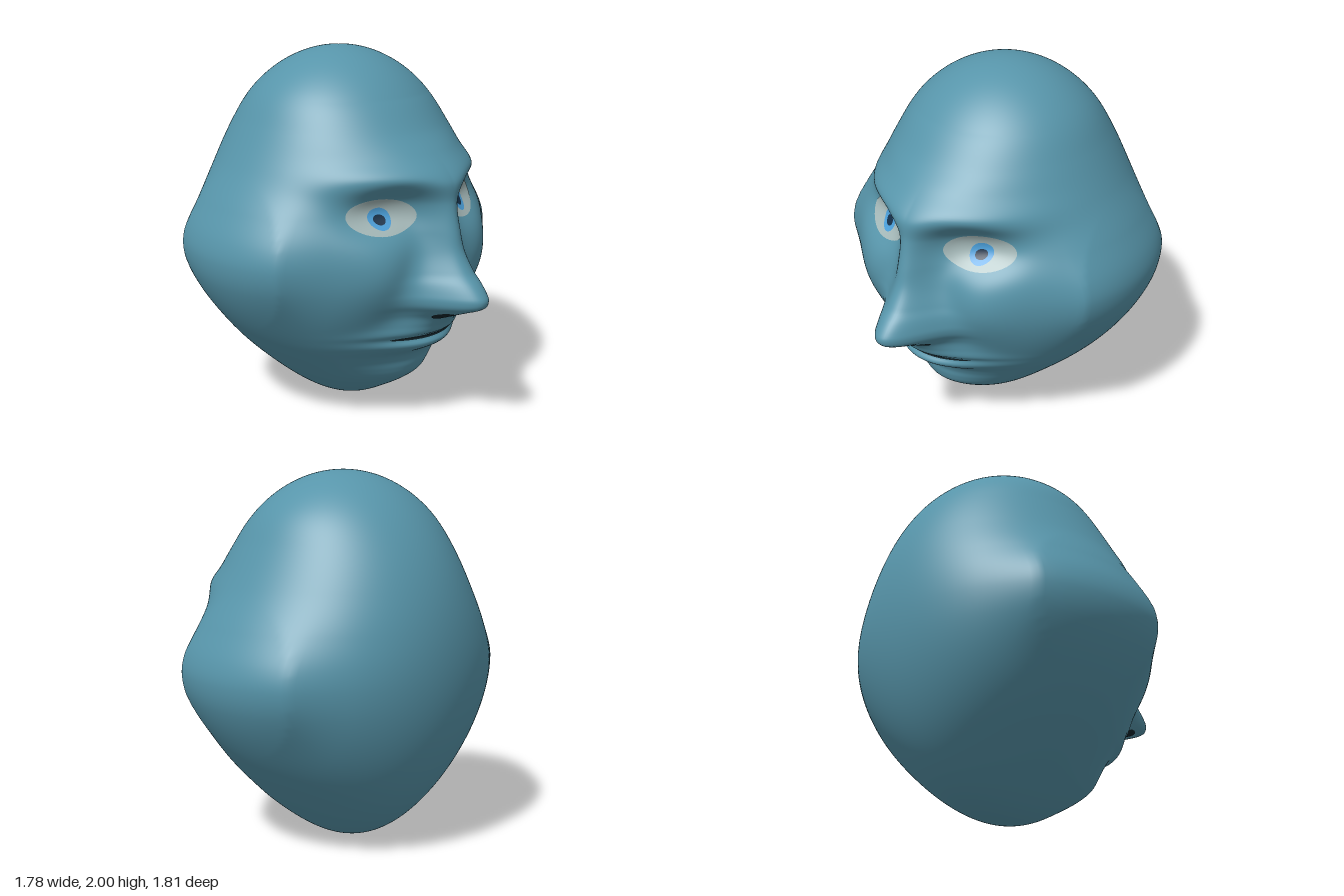
import * as THREE from 'three';

// Egg-shaped skull: centre, height and depth radii
const CY = 1, CZ = -0.16, RY = 1, RZ = 0.74;

// Side-to-side radius of the egg, top to bottom
const WIDTH = [
  [2, 0.76], [1.8, 0.75], [1.6, 0.722], [1.4, 0.745], [1.2, 0.815], [1.05, 0.872], [0.94, 0.891],
  [0.8, 0.877], [0.6, 0.815], [0.4, 0.725], [0.2, 0.605], [0, 0.48],
];

// Middle of the face, top to bottom: height, forward push, half width of the push
const PROFILE = [
  [1.75, 0, 0.4], [1.6, 0.022, 0.4], [1.5, 0.072, 0.36], [1.4, 0.128, 0.28], [1.35, 0.143, 0.22],
  [1.25, 0.13, 0.13], [1.1, 0.139, 0.11], [1.0, 0.16, 0.12], [0.9, 0.225, 0.145], [0.85, 0.28, 0.16],
  [0.8, 0.328, 0.17], [0.77, 0.347, 0.175], [0.73, 0.335, 0.175], [0.69, 0.25, 0.17], [0.65, 0.165, 0.18],
  [0.6, 0.125, 0.22], [0.55, 0.108, 0.28], [0.52, 0.072, 0.3], [0.48, 0.107, 0.3], [0.45, 0.095, 0.29],
  [0.4, 0.035, 0.28], [0.35, 0.03, 0.28], [0.3, 0.052, 0.28], [0.25, 0.068, 0.28], [0.2, 0.055, 0.28],
  [0.1, 0.012, 0.25], [0, 0, 0.2],
];

const bell = (a, b = 0) => Math.exp(-(a * a + b * b));

// Smooth interpolation of one table column by height
function lookUp(table, y, col) {
  const n = table.length - 1;
  if (y >= table[0][0]) return table[0][col];
  let i = 0;
  while (i < n - 1 && table[i + 1][0] > y) i++;
  const slope = (k) => {
    const p = table[Math.max(k - 1, 0)], q = table[Math.min(k + 1, n)];
    return (q[col] - p[col]) / (q[0] - p[0]);
  };
  const [a, b] = [table[i], table[i + 1]];
  const h = b[0] - a[0], t = (y - a[0]) / h, t2 = t * t, t3 = t2 * t;
  return (2 * t3 - 3 * t2 + 1) * a[col] + (t3 - 2 * t2 + t) * h * slope(i)
    + (3 * t2 - 2 * t3) * b[col] + (t3 - t2) * h * slope(i + 1);
}

// Forward push of the face: nose, lips and chin, plus brows, sockets and cheeks
function facePush(x, y) {
  const ax = Math.abs(x);
  const middle = lookUp(PROFILE, y, 1) * Math.exp(-Math.pow(ax / lookUp(PROFILE, y, 2), 2.2));
  const brow = 0.062 * bell((ax - 0.36) / 0.22, (y - 1.38) / 0.075);
  const socket = -0.08 * bell((ax - 0.34) / 0.2, (y - 1.2) / 0.11);
  const cheek = 0.055 * bell((ax - 0.37) / 0.19, (y - 0.88) / 0.22);
  return middle + brow + socket + cheek;
}

// Sideways push that lifts the front and back rims of the round side discs
function sidePush(y, z) {
  const dy = y - 0.95, dz = z + 0.17;
  const out = Math.max(0, Math.hypot(dy, dz) - 0.4);
  const fade = Math.max(0, 1 - out / 0.18);
  return 0.05 * Math.min(1, (dz / 0.4) ** 2) * bell(dy / 0.32) * fade * fade;
}

// Moves a point of the plain egg onto the sculpted head
function sculpt(x, y, z) {
  const front = THREE.MathUtils.smoothstep((z - CZ) / RZ, 0, 0.35);
  const side = THREE.MathUtils.smoothstep(Math.abs(x), 0.2, 0.55);
  return [x + Math.sign(x) * side * sidePush(y, z), y, z + front * facePush(x, y)];
}

// Grid of points to an indexed smooth geometry
function gridGeometry(rows, cols, point) {
  const pos = [], index = [];
  for (let i = 0; i <= rows; i++) {
    for (let j = 0; j < cols; j++) {
      pos.push(...point(i / rows, j / cols));
      if (i === rows) continue;
      const k = (j + 1) % cols;
      const a = i * cols + j, b = i * cols + k, c = a + cols, d = b + cols;
      index.push(a, c, b, b, c, d);
    }
  }
  const g = new THREE.BufferGeometry();
  g.setAttribute('position', new THREE.Float32BufferAttribute(pos, 3));
  g.setIndex(index);
  g.computeVertexNormals();
  return g;
}

// Columns are packed more tightly around the face
function headGeometry() {
  return gridGeometry(280, 210, (u, v) => {
    const t = v * Math.PI * 2, lon = t - 0.55 * Math.sin(t);
    const lat = 0.002 + u * (Math.PI - 0.004), r = Math.sin(lat);
    const y = CY + RY * Math.cos(lat);
    return sculpt(lookUp(WIDTH, y, 1) * r * Math.sin(lon), y, CZ + RZ * r * Math.cos(lon));
  });
}

// Oval patch lying on the face
function patchGeometry(cx, cy, rx, ry, lift) {
  return gridGeometry(8, 40, (u, v) => {
    const t = v * Math.PI * 2, r = Math.max(u, 0.001);
    const x = cx + rx * r * Math.cos(t), y = cy + ry * r * Math.sin(t);
    const z = CZ + RZ * Math.sqrt(1 - (x / lookUp(WIDTH, y, 1)) ** 2 - ((y - CY) / RY) ** 2);
    const p = sculpt(x, y, z);
    p[2] += lift;
    return p;
  });
}

export function createModel() {
  const model = new THREE.Group();
  model.name = 'head';
  const add = (name, geometry, color, parent = model, side = THREE.DoubleSide) => {
    const mesh = new THREE.Mesh(geometry, new THREE.MeshStandardMaterial({ color, side }));
    mesh.name = name;
    parent.add(mesh);
  };

  add('skullAndFace', headGeometry(), 0x5795aa, model, THREE.FrontSide);

  // Eyes and nostrils
  for (const [side, s] of [['left', 1], ['right', -1]]) {
    const eye = new THREE.Group();
    eye.name = side + 'Eye';
    add('eyeWhite', patchGeometry(s * 0.31, 1.195, 0.168, 0.093, 0.004), 0xa4b8b8, eye);
    add('iris', patchGeometry(s * 0.31, 1.185, 0.056, 0.056, 0.006), 0x4a9ed8, eye);
    add('pupil', patchGeometry(s * 0.31, 1.18, 0.03, 0.026, 0.008), 0x14304a, eye);
    model.add(eye);
    add(side + 'Nostril', patchGeometry(s * 0.095, 0.672, 0.035, 0.022, 0.008), 0x14252b);
  }

  // Mouth opening
  add('mouthSlit', patchGeometry(0, 0.522, 0.26, 0.013, 0.006), 0x14252b);
  return model;
}
